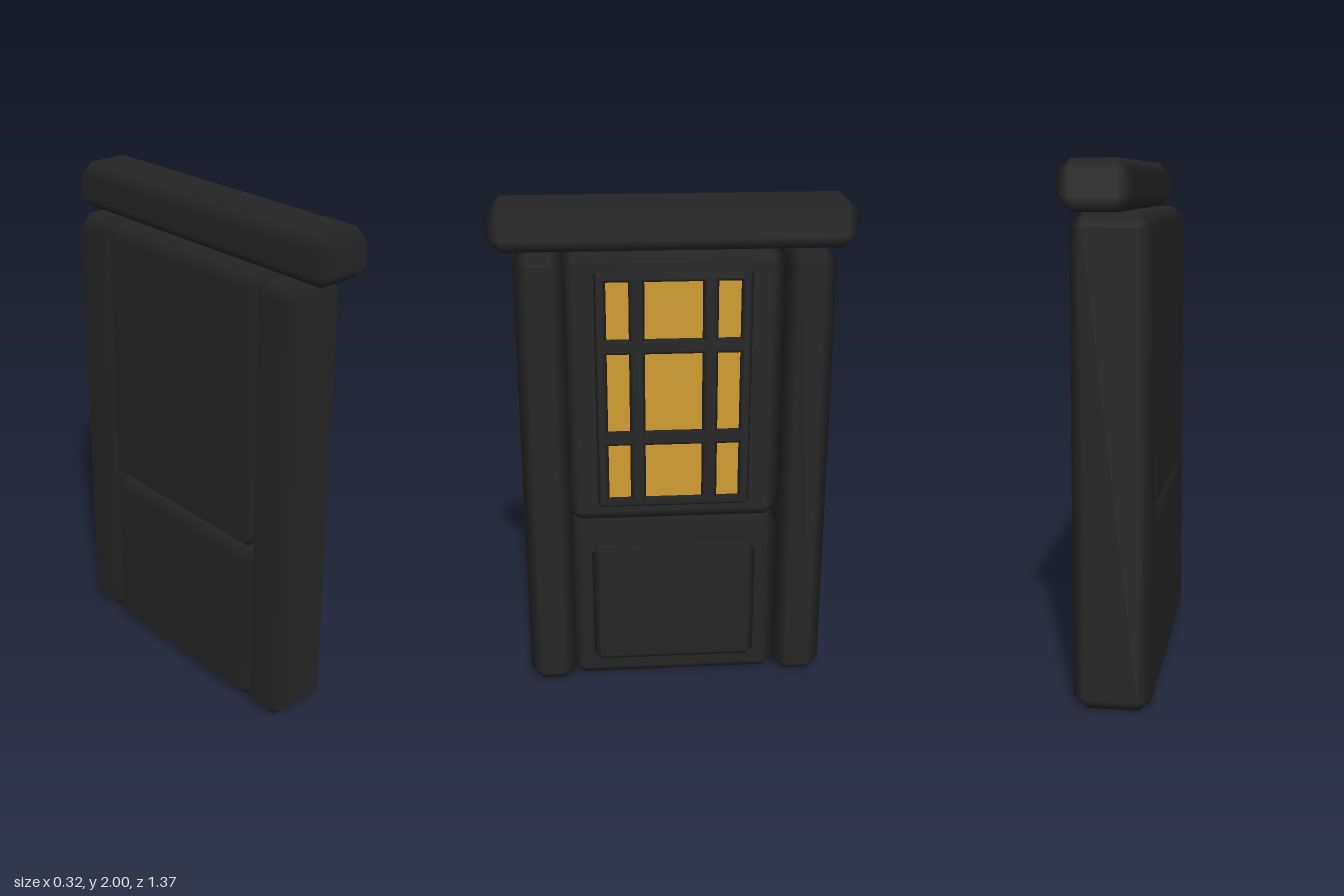
import * as THREE from 'three';
import { ConvexGeometry } from 'three/addons/geometries/ConvexGeometry.js';

// Box with single-step bevels, shaded smoothly across the bevel.
function bevelBox(w, h, d, c) {
  const half = [w / 2, h / 2, d / 2];
  const points = [];
  for (let axis = 0; axis < 3; axis++) {
    for (const sx of [-1, 1]) for (const sy of [-1, 1]) for (const sz of [-1, 1]) {
      const p = [sx, sy, sz].map((s, i) => s * (i === axis ? half[i] : half[i] - c));
      points.push(new THREE.Vector3(...p));
    }
  }
  const geo = new ConvexGeometry(points);
  const pos = geo.attributes.position, nor = geo.attributes.normal;
  for (let i = 0; i < pos.count; i++) {
    const p = [pos.getX(i), pos.getY(i), pos.getZ(i)];
    const n = p.map((v, k) => (Math.abs(v) > half[k] - c * 0.1 ? Math.sign(v) : 0));
    nor.setXYZ(i, ...n);
  }
  return geo;
}

export function createModel() {
  const group = new THREE.Group();
  group.name = 'door';
  const black = new THREE.MeshStandardMaterial({ color: 0x242424 });
  black.name = 'black wood';
  const amber = new THREE.MeshStandardMaterial({ color: 0xd09c2f });
  amber.name = 'amber glass';

  // Adds a bevelled block given its extents on each axis.
  function block(name, [x0, x1], [y0, y1], [z0, z1], bevel) {
    const mesh = new THREE.Mesh(bevelBox(x1 - x0, y1 - y0, z1 - z0, bevel), black);
    mesh.position.set((x0 + x1) / 2, (y0 + y1) / 2, (z0 + z1) / 2);
    mesh.name = name;
    group.add(mesh);
  }

  // Lintel and posts
  block('lintel', [-0.1, 0.16], [1.82, 2], [-0.685, 0.685], 0.05);
  block('leftPost', [-0.165, 0.13], [0, 1.82], [0.405, 0.595], 0.05);
  block('rightPost', [-0.165, 0.13], [0, 1.82], [-0.615, -0.425], 0.05);

  // Door leaf in two blocks, with a raised lower panel
  block('upperDoor', [-0.165, 0.095], [0.715, 1.82], [-0.425, 0.425], 0.05);
  block('lowerDoor', [-0.165, 0.095], [0, 0.715], [-0.425, 0.425], 0.05);
  block('lowerPanel', [0.04, 0.14], [0.1, 0.615], [-0.33, 0.33], 0.03);

  // Window frame and glazing bars
  const bar = [0.07, 0.115];
  for (const s of [-1, 1]) {
    const side = [0.255, 0.3].map((v) => v * s).sort((a, b) => a - b);
    const upright = [0.11, 0.17].map((v) => v * s).sort((a, b) => a - b);
    block('windowFrameSide', bar, [0.79, 1.745], side, 0.014);
    block('windowUpright', bar, [0.81, 1.725], upright, 0.014);
  }
  for (const y of [[0.79, 0.83], [1.7, 1.745]]) block('windowFrameRail', bar, y, [-0.3, 0.3], 0.014);
  for (const y of [[1.05, 1.11], [1.42, 1.48]]) block('windowCrossbar', bar, y, [-0.28, 0.28], 0.014);

  // Glass panes
  const rows = [[0.83, 1.05], [1.11, 1.42], [1.48, 1.7]];
  const columns = [[-0.255, -0.17], [-0.11, 0.11], [0.17, 0.255]];
  for (const [y0, y1] of rows) for (const [z0, z1] of columns) {
    const pane = new THREE.Mesh(new THREE.BoxGeometry(0.008, y1 - y0, z1 - z0), amber);
    pane.position.set(0.095, (y0 + y1) / 2, (z0 + z1) / 2);
    pane.name = 'windowPane';
    group.add(pane);
  }
  return group;
}
